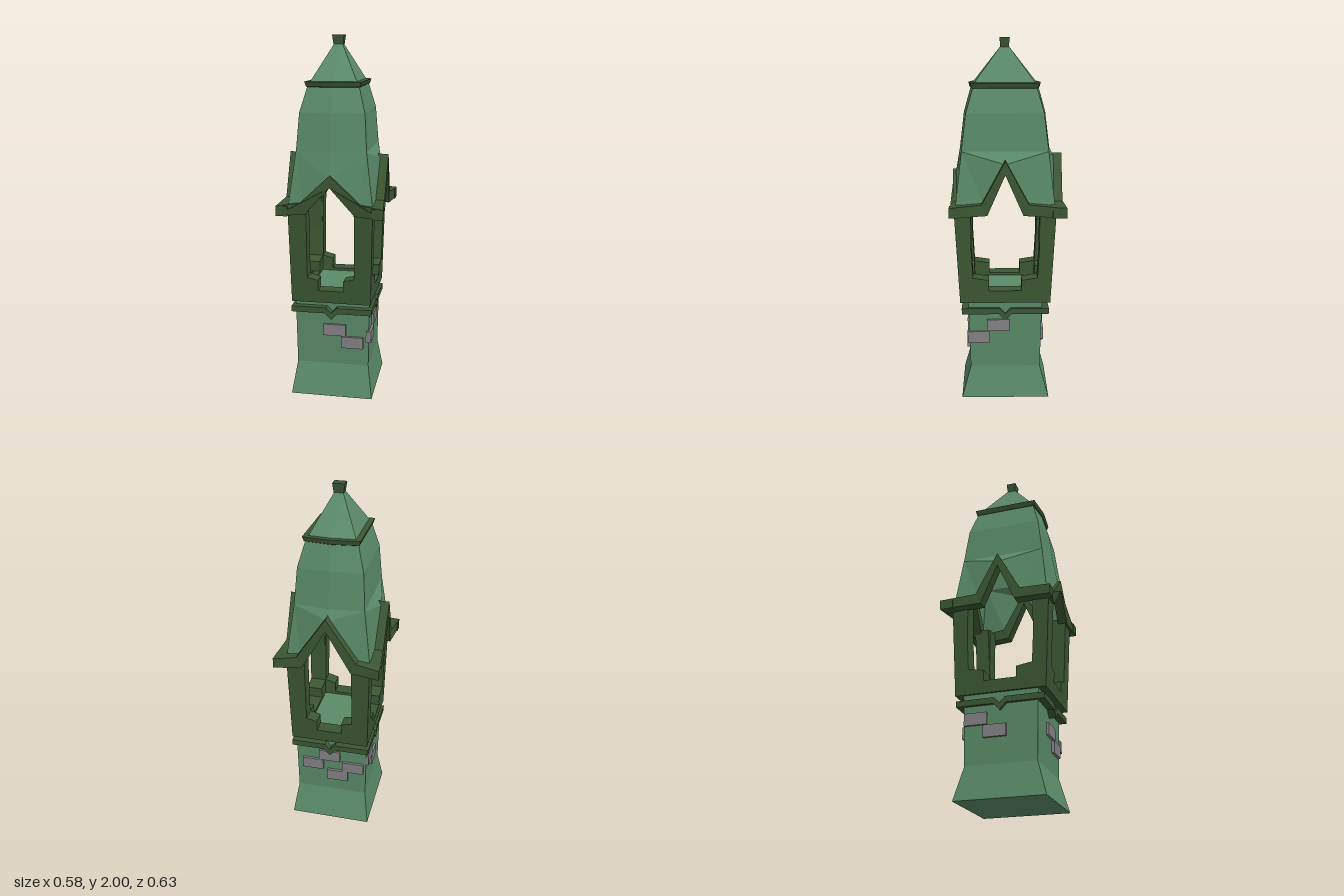
import * as THREE from 'three';

const mat = (color) => new THREE.MeshStandardMaterial({ color, flatShading: true, side: THREE.DoubleSide });
const CZ = 0.015; // the tower's axis sits slightly forward

function mesh(geo, material, name, parent) {
  const m = new THREE.Mesh(geo, material);
  m.name = name;
  parent.add(m);
  return m;
}

function fromTriangles(points) {
  const g = new THREE.BufferGeometry();
  g.setAttribute('position', new THREE.Float32BufferAttribute(points.flat(), 3));
  g.computeVertexNormals();
  return g;
}

// Rectangular rings [y, halfX, halfZ, bulge of the front and back middle] joined into a wall
function loft(rings, bottomCap, topCap) {
  const loops = rings.map(([y, a, b, k = 0]) => [
    [a, y, b], [a, y, 0], [a, y, -b], [0, y, -b - k], [-a, y, -b], [-a, y, 0], [-a, y, b], [0, y, b + k]]);
  const tris = [];
  const last = loops.length - 1;
  for (let i = 0; i < 8; i++) {
    const j = (i + 1) % 8;
    for (let r = 0; r < last; r++) {
      const lo = loops[r], up = loops[r + 1];
      tris.push(lo[i], lo[j], up[j], lo[i], up[j], up[i]);
    }
    if (bottomCap) tris.push([0, rings[0][0], 0], loops[0][j], loops[0][i]);
    if (topCap) tris.push([0, rings[last][0], 0], loops[last][i], loops[last][j]);
  }
  return fromTriangles(tris);
}

// Outline mirrored from its right half, extruded inward from distance d
function panel(half, d, depth) {
  const left = half.filter(([x]) => x > 0).map(([x, y]) => [-x, y]).reverse();
  const shape = new THREE.Shape([...half, ...left].map(([x, y]) => new THREE.Vector2(x, y)));
  return new THREE.ExtrudeGeometry(shape, { depth, bevelEnabled: false }).translate(0, 0, d - depth);
}

function bend(geo, rule) {
  const p = geo.attributes.position;
  const v = new THREE.Vector3();
  for (let i = 0; i < p.count; i++) {
    rule(v.fromBufferAttribute(p, i));
    p.setXYZ(i, v.x, v.y, v.z);
  }
  geo.computeVertexNormals();
  return geo;
}

export function createModel() {
  const model = new THREE.Group();
  const tower = new THREE.Group();
  tower.name = 'tower';
  tower.position.z = CZ;
  model.add(tower);

  const green = mat(0x5b8c69);
  const wood = mat(0x3c5833);
  const stone = mat(0x858385);

  // Flared base column
  mesh(loft([[0, 0.23, 0.245], [0.18, 0.203, 0.195], [0.5, 0.208, 0.203], [0.615, 0.208, 0.21]], true, true),
    green, 'baseColumn', tower);

  // The four sides; widths and distances are measured from the axis
  const front = {
    name: 'front', turn: 0, w: 0.22, d: 0.25, gap: 0.13, step: 0.07, thick: 0.08,
    eave: [0.29, 0.302, 0.052], foot: 0.135, peak: 1.28, inner: 1.215,
    skirt: [0.23, 0.27, 0.19, 0.235, 0.015], band: [0.225, 0.242], face: 0.2,
    bricks: [[0.0125, 0.3875], [0.1125, 0.3175]],
  };
  const back = {
    ...front, name: 'back', turn: Math.PI, eave: [0.29, 0.33, 0.075], peak: 1.37, inner: 1.3,
    bricks: [[-0.01, 0.4275], [-0.11, 0.36], [0.13, 0.36], [0.037, 0.295]],
  };
  const left = {
    name: 'left', turn: Math.PI / 2, w: 0.25, d: 0.22, gap: 0.187, step: 0.09, thick: 0.09,
    eave: [0.302, 0.29, 0.062], foot: 0.097, peak: 1.36, inner: 1.285,
    skirt: [0.27, 0.23, 0.235, 0.19, 0], band: [0.242, 0.225], face: 0.205,
    bricks: [[-0.148, 0.3575], [-0.04, 0.4275]],
  };
  const right = {
    ...left, name: 'right', turn: -Math.PI / 2, bricks: [[-0.135, 0.4225], [-0.03, 0.3525]],
  };

  for (const s of [front, back, left, right]) {
    const side = new THREE.Group();
    side.name = s.name + 'Side';
    side.rotation.y = s.turn;
    tower.add(side);

    // Moulding with a small point in the middle
    mesh(panel([[0, 0.458], [0.035, 0.495], [s.band[0], 0.495], [s.band[0], 0.528], [0.03, 0.528], [0, 0.497]],
      s.band[1], 0.045), wood, 'moulding', side);

    // Posts, stepped parapet and sill, leaning outward toward the top
    const frame = panel([[0, 0.63], [s.step, 0.63], [s.step, 0.69], [s.gap, 0.705], [s.gap, 1.1],
      [s.w, 1.1], [s.w, 0.56], [0, 0.56]], s.d, s.thick);
    mesh(bend(frame, (v) => {
      const t = (v.y - 0.56) / 0.5;
      const [kx, kz] = s.w > s.d ? [0.027, 0.01] : [0.01, 0.027];
      if (Math.abs(v.x) > s.gap + 0.01) v.x += Math.sign(v.x) * kx * t;
      v.z += kz * t;
    }), wood, 'balconyFrame', side);

    // Roof skirt with a gable notch
    const [bw, bd, tw, td, bulge] = s.skirt;
    const A = [-bw, 1.1, bd], B = [-s.foot - 0.015, 1.1, bd], P = [0, s.peak - 0.025, bd + 0.005];
    const E = [-tw, 1.4, td], M = [0, 1.4, td + bulge];
    const half = [A, B, E, B, P, E, P, M, E];
    const mirrored = half.map(([x, y, z]) => [-x, y, z]).reverse();
    mesh(fromTriangles([...half, ...mirrored]), green, 'roofSkirt', side);

    // Eave board rising into the gable
    const [ew, ed, et] = s.eave;
    const board = panel([[0, s.inner], [s.foot, 1.065], [ew, 1.055], [ew, 1.11], [s.foot + 0.03, 1.125], [0, s.peak]],
      ed, et);
    mesh(bend(board, (v) => {
      if (Math.abs(v.x) < ew - 0.01) v.z -= v.x === 0 ? 0.012 : 0.016;
    }), wood, 'eaveBoard', side);

    // Exposed bricks
    for (const [x, y] of s.bricks) {
      mesh(new THREE.BoxGeometry(0.125, 0.066, 0.03), stone, 'brick', side).position.set(x, y, s.face);
    }
  }

  // Upper roof
  mesh(loft([[1.4, 0.19, 0.235, 0.015], [1.6, 0.176, 0.21, 0.015], [1.74, 0.138, 0.17, 0.015]]),
    green, 'roofBody', tower);
  mesh(loft([[1.73, 0.138, 0.17, 0.015], [1.735, 0.145, 0.178, 0.015], [1.76, 0.153, 0.184, 0.015],
    [1.762, 0.12, 0.15, 0.012]], true, true), wood, 'roofBand', tower);
  mesh(loft([[1.755, 0.128, 0.167, 0.012], [1.955, 0.022, 0.02]], false, true), green, 'roofCap', tower);
  mesh(loft([[1.94, 0.025, 0.022], [2, 0.033, 0.028]], true, true), wood, 'finial', tower);

  return model;
}
